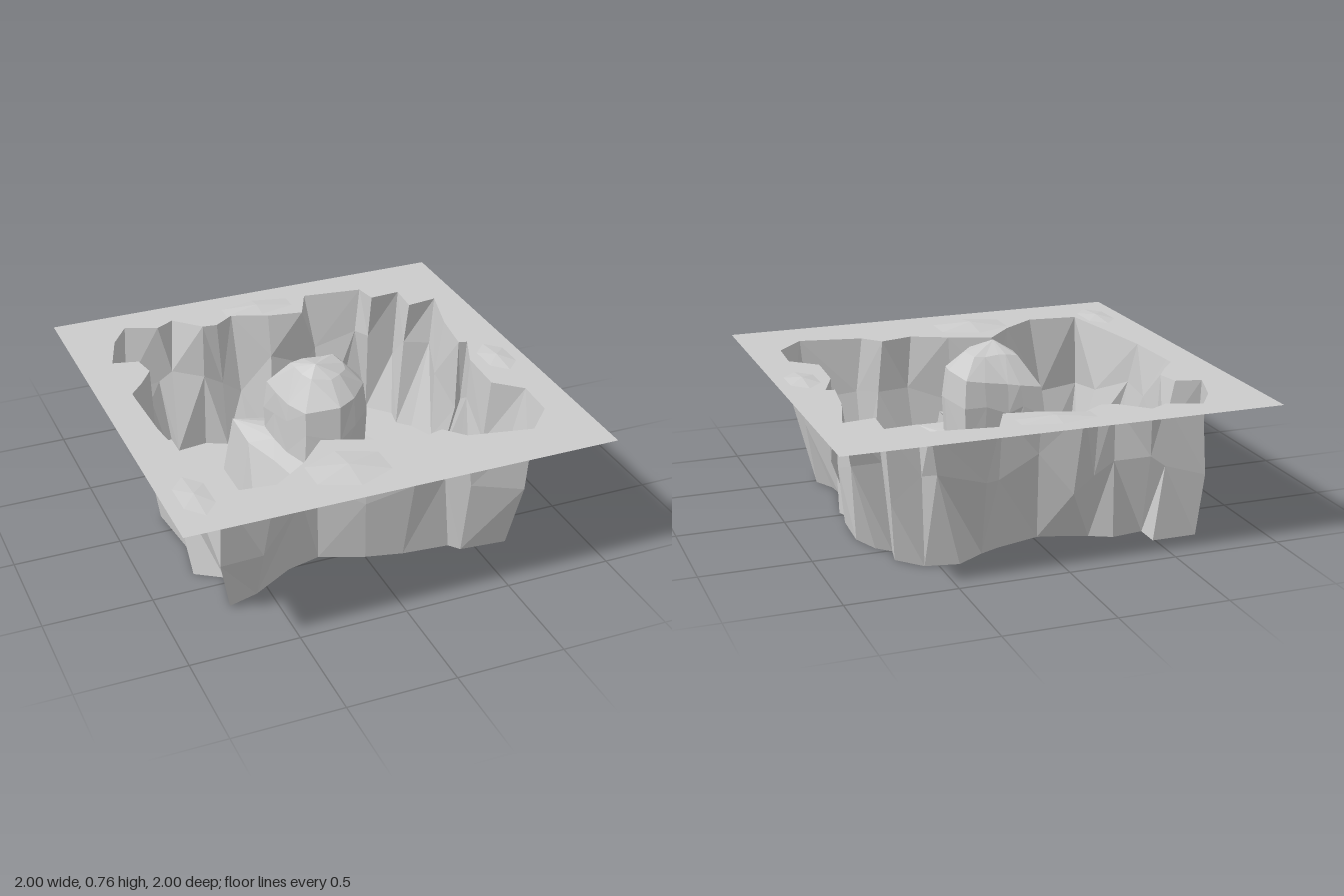
import * as THREE from 'three';

const material = new THREE.MeshStandardMaterial({ color: 0xcccccc, flatShading: true, side: THREE.DoubleSide });
const GROUND = 0.64;

// Outlines as x, z pairs in hundredths, clockwise from the back right corner
const RIM = [
  -68, -86, -53, -80, -44, -85, -32, -73, -25, -72, -15, -79, 2, -72, 19, -69, 27, -86, 56, -82,
  58, -71, 73, -72, 72, -56, 87, -58, 80, -32, 77, -10, 81, -9, 74, 8, 73, 32, 85, 43,
  84, 63, 71, 77, 41, 71, 33, 62, 17, 66, 0, 58, -20, 50, -34, 65, -51, 77, -75, 74,
  -79, 46, -83, 14, -84, -16, -84, -21, -77, -29, -70, -39, -72, -50, -84, -53, -77, -73];
const FLOOR = [
  -70, -79, -49, -79, -49, -67, -34, -69, -24, -64, -13, -60, -2, -57, 19, -63, 28, -67, 41, -75,
  56, -72, 66, -61, 64, -51, 70, -45, 75, -32, 74, -10, 69, -9, 73, 3, 66, 30, 67, 38,
  72, 48, 65, 68, 43, 66, 39, 61, 17, 59, 0, 55, -20, 47, -36, 51, -56, 63, -70, 67,
  -65, 46, -77, 38, -73, 16, -76, -13, -67, -18, -57, -32, -56, -52, -72, -60, -65, -66];
const FOOT = [-34, -42, -9, -40, -6, -29, 11, -35, 33, -35, 29, 0, 35, 25, 17, 28, 16, 43, -34, 36, -36, 8, -34, -16];
const LEDGE = [-30, -38, -8, -36, -6, -27, 11, -29, 27, -32, 24, 0, 28, 22, 8, 23, 12, 37, -22, 28, -26, 8, -30, -16];
const SHAFT = [-20, -20, -9, -20, -3, -19, 9, -19, 18, -18, 20, 2, 19, 10, 10, 20, 1, 24, -15, 19, -19, 6, -20, -8];

let seed = 7;
function jitter(amount) {
  seed = (seed * 16807) % 2147483647;
  return (seed / 2147483647 * 2 - 1) * amount;
}

// Turns a flat outline into a ring of points at one height
function ring(outline, y) {
  const points = [];
  for (let i = 0; i < outline.length; i += 2) {
    points.push(new THREE.Vector3(outline[i] / 100, y, outline[i + 1] / 100));
  }
  return points;
}

// Skins a stack of equal closed rings, listed from the bottom up
function loft(rings) {
  const n = rings[0].length;
  const index = [];
  for (let r = 0; r < rings.length - 1; r++) {
    for (let i = 0; i < n; i++) {
      const a = r * n + i, b = r * n + (i + 1) % n;
      if (i % 2) index.push(a, a + n, b, b, a + n, b + n);
      else index.push(a, b + n, b, a, a + n, b + n);
    }
  }
  const geometry = new THREE.BufferGeometry().setFromPoints(rings.flat());
  geometry.setIndex(index);
  const flat = geometry.toNonIndexed();
  flat.computeVertexNormals();
  return flat;
}

// Horizontal sheet with one opening
function sheet(outer, hole, y) {
  const flat = (points) => points.map((p) => new THREE.Vector2(p.x, -p.z));
  const shape = new THREE.Shape(flat(outer));
  shape.holes.push(new THREE.Path(flat(hole)));
  return new THREE.ShapeGeometry(shape).rotateX(-Math.PI / 2).translate(0, y, 0);
}

export function createModel() {
  const model = new THREE.Group();
  const add = (name, geometry) => {
    const mesh = new THREE.Mesh(geometry, material);
    mesh.name = name;
    model.add(mesh);
    return mesh;
  };

  const rim = ring(RIM, GROUND);
  const floor = ring(FLOOR, 0);
  const foot = ring(FOOT, 0);

  // Ground around the pit and the pit floor
  add('ground', sheet(ring([-100, -100, 100, -100, 100, 100, -100, 100], 0), rim, GROUND));
  add('pitFloor', sheet(floor, foot, 0));

  // Craggy walls, bulging outward along a broken ridge line halfway up
  const ridge = rim.map((p, i) => {
    const m = floor[i].clone().lerp(p, 0.66);
    m.x = m.x * 1.01 + jitter(0.03);
    m.z = m.z * 1.01 + jitter(0.03);
    m.y = 0.34 + jitter(0.11);
    return m;
  });
  add('pitWalls', loft([floor, ridge, rim]));

  // Central pillar: rough ledge, steep shaft and faceted crown
  const ledge = ring(LEDGE, 0.3);
  ledge.forEach((p) => { p.y += jitter(0.03); });
  const shaftFoot = ring(SHAFT, 0.33);
  const waist = shaftFoot.map((p) => new THREE.Vector3(p.x + jitter(0.01), 0.47 + jitter(0.05), p.z + jitter(0.01)));
  const shoulder = shaftFoot.map((p) => new THREE.Vector3(p.x * 0.95, 0.61 + 0.15 * p.x, p.z * 0.95));
  const crown = shaftFoot.map((p) => new THREE.Vector3(p.x * 0.55, 0.715 + jitter(0.008), p.z * 0.5 + 0.01));
  const peak = shaftFoot.map(() => new THREE.Vector3(-0.04, 0.76, 0.05));
  add('pillar', loft([foot, ledge, shaftFoot, waist, shoulder, crown, peak]));

  // Low swellings on the ground: x, z, half width, half depth, height
  const mounds = [
    [-0.18, 0.76, 0.2, 0.15, 0.022], [0.0, -0.83, 0.2, 0.08, 0.015],
    [0.87, 0.1, 0.08, 0.14, 0.015], [-0.86, 0.72, 0.08, 0.16, 0.012]];
  for (const [x, z, w, d, h] of mounds) {
    const mound = add('mound', new THREE.ConeGeometry(1, 1, 6, 1, true));
    mound.scale.set(w, h, d);
    mound.position.set(x, GROUND + h / 2, z);
  }
  return model;
}
